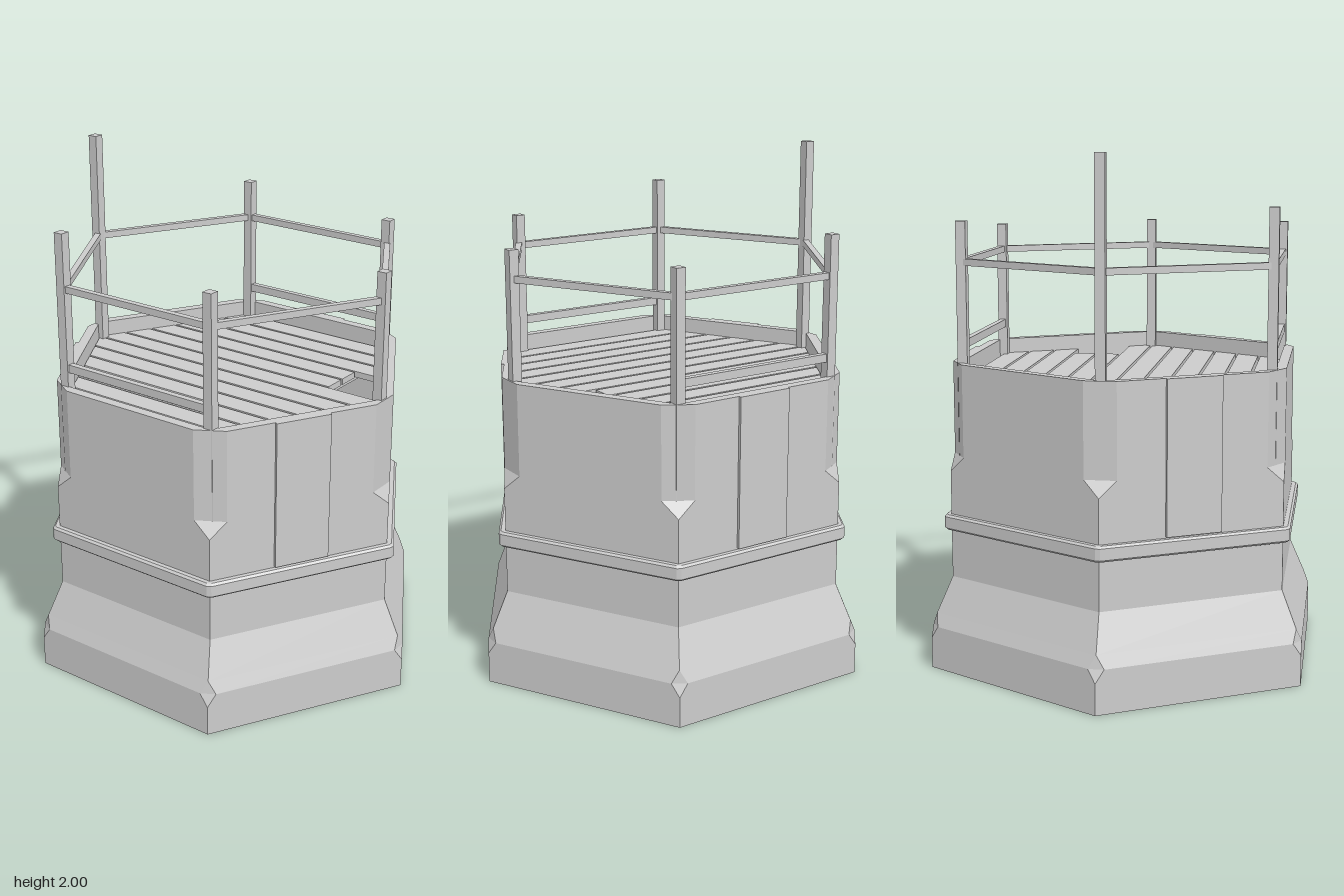
import * as THREE from 'three';

const grey = new THREE.MeshStandardMaterial({ color: 0xcccccc, flatShading: true });
const SLOPE = Math.sqrt(3);

// Hexagon of 12 points: each corner is split by a cut of length c along both edges.
function hexRing([y, r, c = 0]) {
  const corner = k => new THREE.Vector3(r * Math.cos(k * Math.PI / 3), y, -r * Math.sin(k * Math.PI / 3));
  const points = [];
  for (let k = 0; k < 6; k++) {
    const p = corner(k);
    for (const step of [-1, 1]) {
      const along = corner(k + step).sub(p).normalize();
      points.push(p.clone().addScaledVector(along, c));
    }
  }
  return points;
}

// Closed flat-shaded body through a loop of [height, radius, cut] rings.
function hexLoft(profile) {
  const rings = profile.map(hexRing);
  const pos = [];
  rings.forEach((low, i) => {
    const high = rings[(i + 1) % rings.length];
    for (let j = 0; j < 12; j++) {
      const n = (j + 1) % 12;
      const tri = (a, b, c) => {
        const area = b.clone().sub(a).cross(c.clone().sub(a)).length();
        if (area > 1e-8) for (const v of [a, b, c]) pos.push(v.x, v.y, v.z);
      };
      tri(low[j], low[n], high[n]);
      tri(low[j], high[n], high[j]);
    }
  });
  const geo = new THREE.BufferGeometry();
  geo.setAttribute('position', new THREE.Float32BufferAttribute(pos, 3));
  geo.computeVertexNormals();
  return geo;
}

export function createModel() {
  const model = new THREE.Group();
  const add = (name, geo, x = 0, y = 0, z = 0, turn = 0) => {
    const mesh = new THREE.Mesh(geo, grey);
    mesh.name = name;
    mesh.position.set(x, y, z);
    mesh.rotation.y = turn;
    model.add(mesh);
    return mesh;
  };
  const box = (w, h, d) => new THREE.BoxGeometry(w, h, d);

  // Hollow hexagonal wall: flared foot, chipped foot corners, cut upper corners
  add('towerWall', hexLoft([
    [0, 0.83], [0.12, 0.83], [0.17, 0.83, 0.035], [0.22, 0.806], [0.36, 0.74],
    [0.78, 0.74], [0.84, 0.74, 0.07], [1.2, 0.74, 0.07],
    [1.2, 0.695], [0.36, 0.695], [0.17, 0.79], [0, 0.79],
  ]));

  // Raised band around the middle
  add('wallBand', hexLoft([
    [0.55, 0.685], [0.55, 0.76, 0.01], [0.558, 0.77, 0.01],
    [0.602, 0.77, 0.01], [0.61, 0.76, 0.01], [0.61, 0.685],
  ]));

  // Raised panels on every second side
  for (const turn of [Math.PI, Math.PI / 3, -Math.PI / 3]) {
    const d = 0.643;
    add('wallPanel', box(0.22, 0.585, 0.02), d * Math.sin(turn), 0.9075, d * Math.cos(turn), turn);
  }

  // Deck boards trimmed to the hexagon, two of them broken short
  const pitch = 0.0985, width = 0.088, deckTop = 1.14;
  for (let i = 0; i < 12; i++) {
    const z0 = (i - 6) * pitch + 0.006, z1 = z0 + width;
    const reach = z => 0.692 - Math.abs(z) / SLOPE;
    const broken = i === 3 || i === 4;
    const right = z => (broken ? 0.39 : reach(z));
    const outline = new THREE.Shape([
      new THREE.Vector2(-reach(z0), z0), new THREE.Vector2(right(z0), z0),
      new THREE.Vector2(right(z1), z1), new THREE.Vector2(-reach(z1), z1),
    ]);
    const geo = new THREE.ExtrudeGeometry(outline, { depth: 0.025, bevelEnabled: false });
    geo.rotateX(Math.PI / 2);
    add(broken ? 'brokenDeckBoard' : 'deckBoard', geo, 0, deckTop, 0);
  }

  // Beams under the deck
  for (const x of [-0.34, 0.34]) add('deckBeam', box(0.022, 0.04, 1.18), x, 1.095, 0);

  // Corner posts of uneven height, from inside the wall up past the railing
  const tops = [1.695, 1.69, 1.74, 2.0, 1.8, 1.71];
  const foot = 0.18;
  const posts = tops.map((top, k) => {
    const a = k * Math.PI / 3;
    const p = new THREE.Vector3(0.68 * Math.cos(a), 0, -0.68 * Math.sin(a));
    add('post', box(0.038, top - foot, 0.038), p.x, (top + foot) / 2, p.z);
    return p;
  });

  // Upper rails on all sides, low rails at front and back
  posts.forEach((p, k) => {
    const q = posts[(k + 1) % 6];
    const mid = p.clone().add(q).multiplyScalar(0.5);
    const turn = Math.atan2(-(q.z - p.z), q.x - p.x);
    add('upperRail', box(0.68, 0.026, 0.024), mid.x, 1.585, mid.z, turn);
    if (k === 1 || k === 4) add('lowerRail', box(0.66, 0.032, 0.024), mid.x, 1.272, mid.z, turn);
  });

  return model;
}
